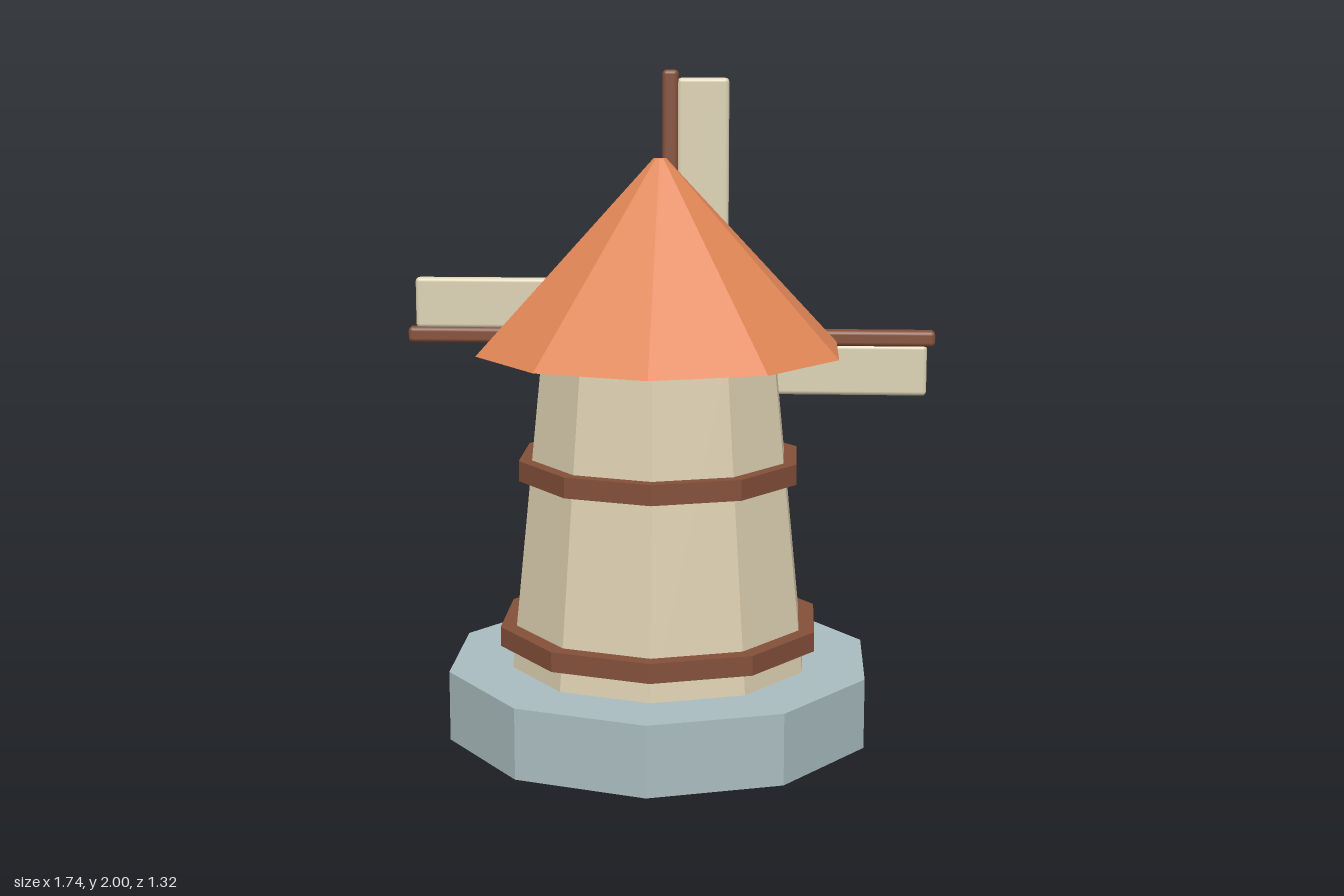
import * as THREE from 'three';
import { RoundedBoxGeometry } from 'three/addons/geometries/RoundedBoxGeometry.js';

const SIDES = 10;

function material(name, color, flatShading = false) {
  const m = new THREE.MeshStandardMaterial({ color, flatShading });
  m.name = name;
  return m;
}

export function createModel() {
  const stone = material('stone', 0xa9bcbf, true);
  const plaster = material('plaster', 0xdccfb0, true);
  const wood = material('wood', 0x84503a, true);
  const roofTile = material('roofTile', 0xe08656, true);
  const brass = material('brass', 0xd6b15a, true);
  const timber = material('timber', 0x84503a);
  const canvas = material('canvas', 0xdcd2b4);
  const doorPaint = material('doorPaint', 0x58aaa3);

  const model = new THREE.Group();
  model.name = 'windmill';

  function add(parent, name, geometry, mat, x = 0, y = 0, z = 0) {
    const mesh = new THREE.Mesh(geometry, mat);
    mesh.name = name;
    mesh.position.set(x, y, z);
    parent.add(mesh);
    return mesh;
  }

  // Ten-sided drum between two heights
  function drum(name, rTop, rBottom, y0, y1, mat) {
    const geometry = new THREE.CylinderGeometry(rTop, rBottom, y1 - y0, SIDES);
    return add(model, name, geometry, mat, 0, (y0 + y1) / 2);
  }

  // Tower
  drum('base', 0.66, 0.66, 0, 0.215, stone);
  drum('tower', 0.362, 0.465, 0.2, 1.2, plaster);
  drum('lowerBand', 0.5, 0.5, 0.285, 0.345, wood);
  drum('upperBand', 0.438, 0.438, 0.795, 0.857, wood);
  drum('eavesBand', 0.392, 0.392, 1.165, 1.22, wood);
  drum('roof', 0.02, 0.565, 1.18, 1.755, roofTile);

  // Door at the back
  add(model, 'door', new RoundedBoxGeometry(0.25, 0.44, 0.044, 2, 0.02), doorPaint, 0, 0.415, -0.459);

  // Rotor: hub plus four arms, each a quarter turn on
  const rotor = new THREE.Group();
  rotor.name = 'rotor';
  rotor.position.set(0, 1.132, -0.575);
  model.add(rotor);

  const hub = add(rotor, 'hub', new THREE.CylinderGeometry(0.112, 0.112, 0.1, SIDES), brass, 0, 0, -0.018);
  hub.rotation.x = Math.PI / 2;

  const sparGeometry = new RoundedBoxGeometry(0.052, 0.868, 0.054, 2, 0.014);
  const sailGeometry = new RoundedBoxGeometry(0.168, 0.535, 0.038, 2, 0.014);
  for (let i = 0; i < 4; i++) {
    const arm = new THREE.Group();
    arm.name = 'arm';
    arm.rotation.z = -i * Math.PI / 2;
    add(arm, 'spar', sparGeometry, timber, 0, 0.434, 0);
    add(arm, 'sail', sailGeometry, canvas, 0.106, 0.575, 0);
    rotor.add(arm);
  }

  return model;
}
